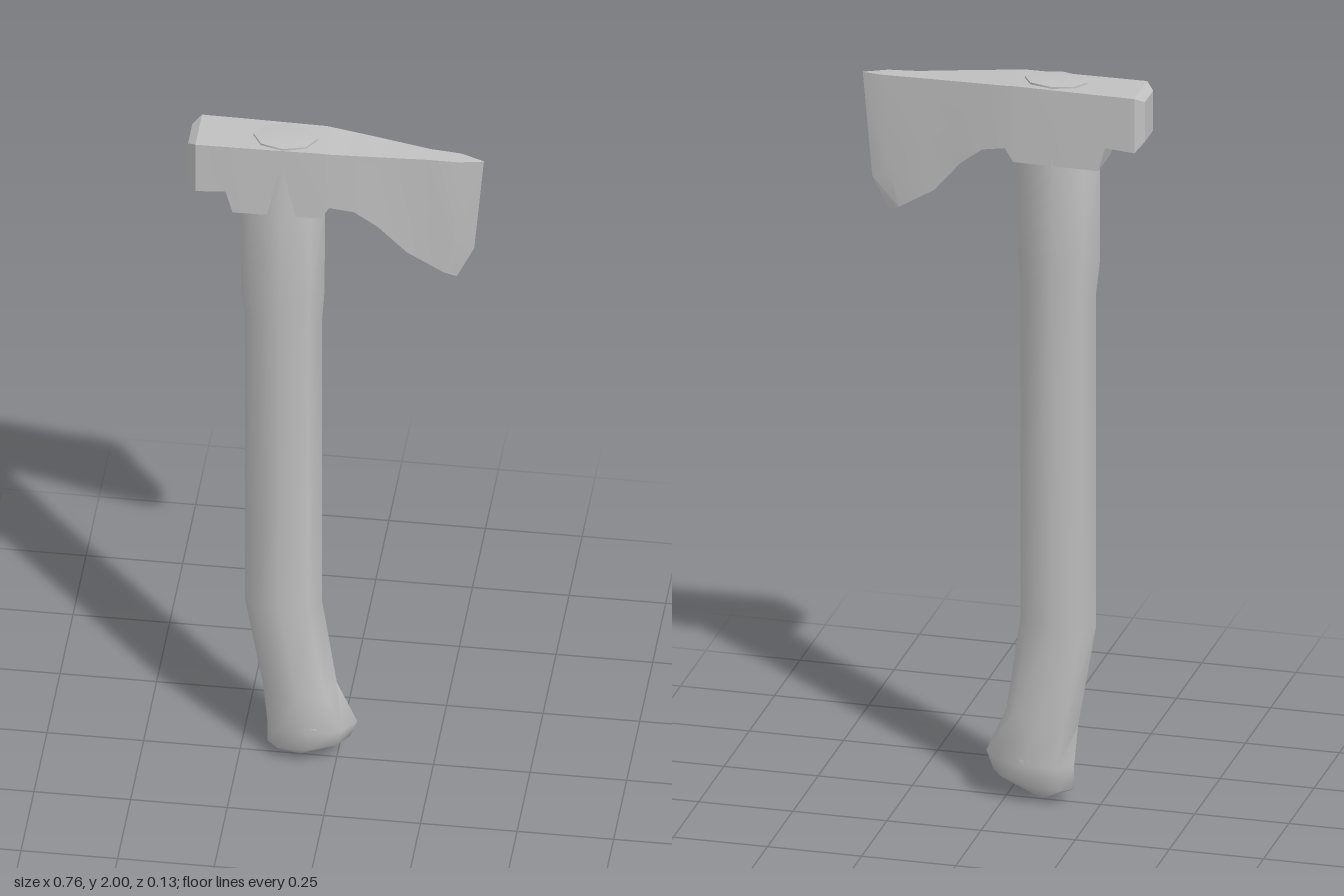
import * as THREE from 'three';
import { toCreasedNormals } from 'three/addons/utils/BufferGeometryUtils.js';

// Skin a series of closed rings; each end is closed with a fan to a centre point
function loft(rings, startTip, endTip, crease) {
  const n = rings[0].length, pos = [];
  const tri = (a, b, c) => pos.push(...a, ...b, ...c);
  const centre = (r) => [0, 1, 2].map((k) => r.reduce((s, p) => s + p[k], 0) / n);
  const first = rings[0], last = rings[rings.length - 1];
  const c0 = startTip || centre(first), c1 = endTip || centre(last);
  for (let j = 0; j < n; j++) {
    const k = (j + 1) % n;
    for (let i = 0; i < rings.length - 1; i++) {
      const p = rings[i], q = rings[i + 1];
      tri(p[j], q[j], p[k]);
      tri(q[j], q[k], p[k]);
    }
    tri(c0, first[j], first[k]);
    tri(c1, last[k], last[j]);
  }
  const geo = new THREE.BufferGeometry();
  geo.setAttribute('position', new THREE.Float32BufferAttribute(pos, 3));
  geo.computeVertexNormals();
  return toCreasedNormals(geo, crease);
}

export function createModel() {
  const group = new THREE.Group();
  const grey = new THREE.MeshStandardMaterial({ color: 0xc0c0c0 });
  grey.name = 'plainGrey';
  const add = (geo, name) => {
    const mesh = new THREE.Mesh(geo, grey);
    mesh.name = name;
    group.add(mesh);
    return mesh;
  };

  // Handle: eight-sided oval sections [back x, y, front x, y, half depth]
  const handleSections = [
    [-0.18, 0.035, 0.035, 0.07, 0.052],
    [-0.18, 0.10, 0.053, 0.12, 0.06],
    [-0.19, 0.21, 0.0, 0.24, 0.06],
    [-0.238, 0.49, -0.038, 0.5, 0.061],
    [-0.238, 1.41, -0.038, 1.41, 0.061],
    [-0.248, 1.5, -0.032, 1.5, 0.066],
    [-0.248, 1.78, -0.03, 1.78, 0.066],
    [-0.215, 1.995, -0.05, 1.995, 0.055],
  ];
  const handleRings = handleSections.map(([xb, yb, xf, yf, hz]) =>
    Array.from({ length: 8 }, (_, j) => {
      const a = (j / 8) * Math.PI * 2, t = (1 + Math.cos(a)) / 2;
      return [xb + (xf - xb) * t, yb + (yf - yb) * t, Math.sin(a) * hz];
    }));
  add(loft(handleRings, [-0.095, 0, 0], [-0.135, 2, 0], 1.2), 'handle');

  // Lanyard hole marker: small three-sided pin through the grip
  const pin = add(new THREE.CylinderGeometry(0.018, 0.018, 0.118, 3), 'lanyardHole');
  pin.rotation.x = Math.PI / 2;
  pin.scale.z = 0.55;
  pin.position.set(-0.062, 0.12, 0);

  // Head: upright sections from poll to cutting edge
  // [top x, top y, bottom x, bottom y, half depth, middle x, middle y]
  const headSections = [
    [-0.38, 1.975, -0.38, 1.865, 0.041],
    [-0.358, 1.99, -0.358, 1.84, 0.064],
    [-0.28, 1.99, -0.28, 1.845, 0.063],
    [-0.262, 1.99, -0.262, 1.78, 0.063],
    [-0.035, 1.99, -0.035, 1.78, 0.059],
    [-0.012, 1.988, -0.012, 1.815, 0.057],
    [0.05, 1.984, 0.05, 1.802, 0.049],
    [0.11, 1.98, 0.11, 1.755, 0.041],
    [0.24, 1.971, 0.185, 1.665, 0.023],
    [0.318, 1.968, 0.28, 1.607, 0.019, 0.305, 1.71],
    [0.38, 1.963, 0.31, 1.585, 0.001, 0.355, 1.68],
  ];
  const headRings = headSections.map(([xt, yt, xb, yb, hz, xm = (xt + xb) / 2, ym = (yt + yb) / 2]) => [
    [xt, yt, hz], [xt, yt, -hz], [xm, ym, -hz], [xb, yb, -hz], [xb, yb, hz], [xm, ym, hz],
  ]);
  add(loft(headRings, null, null, 0.3), 'axeHead').position.z = -0.004;

  return group;
}
